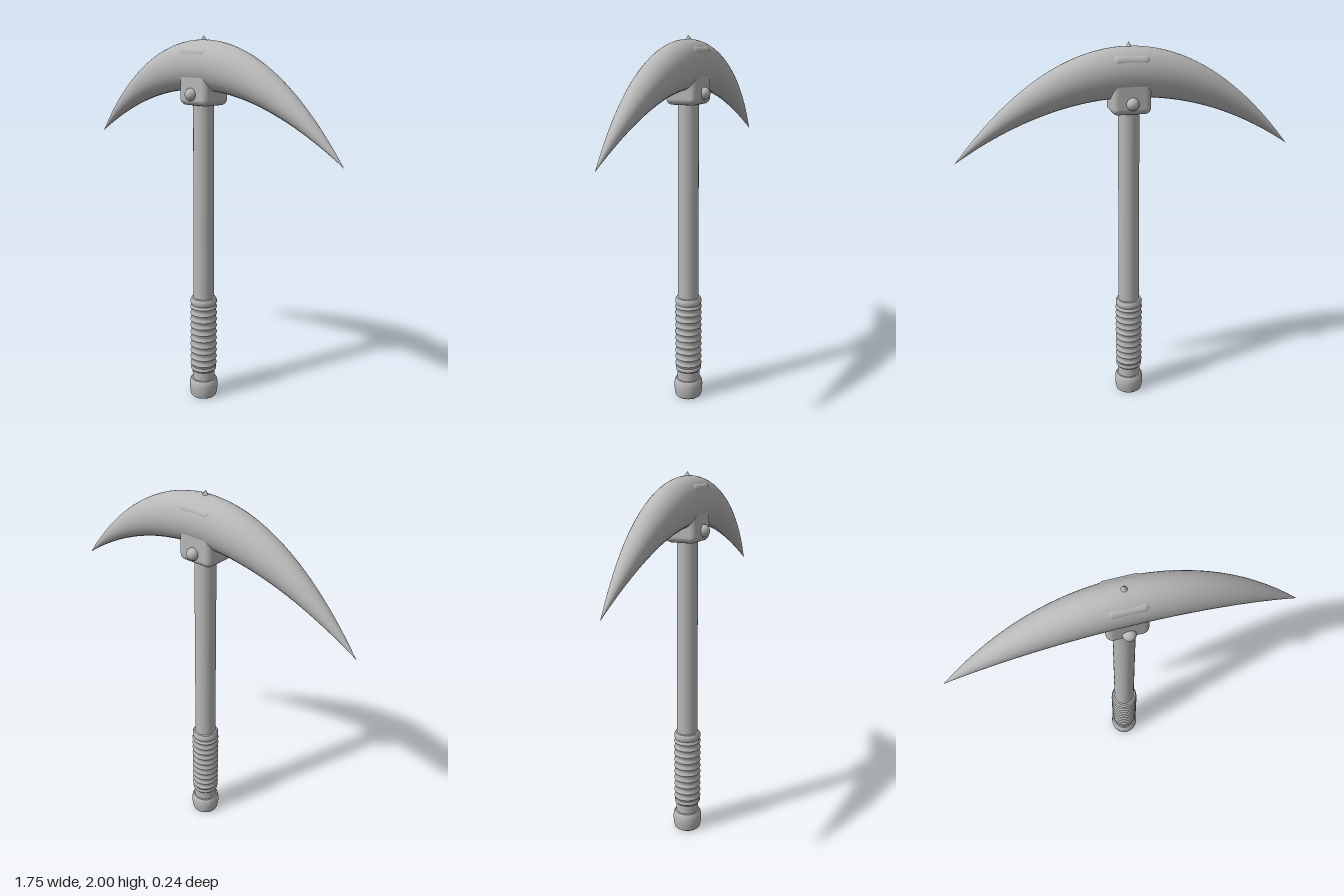
import * as THREE from 'three';
import { RoundedBoxGeometry } from 'three/addons/geometries/RoundedBoxGeometry.js';
import { toCreasedNormals } from 'three/addons/utils/BufferGeometryUtils.js';

const grey = new THREE.MeshStandardMaterial({ color: 0xb8b8b8 });
grey.name = 'grey';

function part(parent, name, geometry, x = 0, y = 0, z = 0) {
  const mesh = new THREE.Mesh(geometry, grey);
  mesh.name = name;
  mesh.position.set(x, y, z);
  parent.add(mesh);
  return mesh;
}

// Turned part from [radius, height] pairs, bottom to top
function turned(points) {
  const profile = points.map(([r, y]) => new THREE.Vector2(r, y));
  return toCreasedNormals(new THREE.LatheGeometry(profile, 40), 0.6);
}

// Curved double-pointed head: elliptical sections between two parabolas
function headGeometry() {
  const sides = 36, steps = 80, reach = 0.875;
  const geometry = new THREE.CylinderGeometry(1, 1, 2, sides, steps, true);
  const p = geometry.attributes.position;
  for (let i = 0; i < p.count; i++) {
    const t = p.getY(i);
    const fade = Math.max(1 - t * t, 0.002);
    const middle = 1.442 + 0.413 * (1 - t * t);
    p.setXYZ(i, t * reach, middle - p.getX(i) * 0.125 * fade, p.getZ(i) * 0.1 * fade);
  }
  // Normals follow the bent surface; the seam is hidden underneath
  geometry.rotateY(0);
  geometry.computeVertexNormals();
  const n = geometry.attributes.normal;
  for (let row = 0; row <= steps; row++) {
    const a = row * (sides + 1), b = a + sides;
    const v = new THREE.Vector3().fromBufferAttribute(n, a)
      .add(new THREE.Vector3().fromBufferAttribute(n, b)).normalize();
    n.setXYZ(a, v.x, v.y, v.z);
    n.setXYZ(b, v.x, v.y, v.z);
  }
  return geometry;
}

export function createModel() {
  const pickaxe = new THREE.Group();
  pickaxe.name = 'pickaxe';

  part(pickaxe, 'head', headGeometry());
  part(pickaxe, 'topSpike', new THREE.ConeGeometry(0.02, 0.03, 20), 0, 1.985, 0);

  // Socket block through the head, with a rivet on each face
  part(pickaxe, 'socket', new RoundedBoxGeometry(0.2, 0.29, 0.176, 5, 0.032), 0, 1.8, 0);
  for (const side of [1, -1]) {
    part(pickaxe, 'rivet', new THREE.SphereGeometry(0.032, 24, 16), 0, 1.712, side * 0.09);
  }

  // Shaft, slightly thicker towards the grip
  part(pickaxe, 'shaft', new THREE.CylinderGeometry(0.054, 0.058, 1.65, 40), 0, 0.925, 0);

  // Ribbed grip
  const grip = [[0.05, 0.16], [0.066, 0.16], [0.072, 0.168], [0.072, 0.18]];
  const ribs = 10, pitch = 0.038;
  for (let i = 0; i < ribs; i++) {
    const y = 0.182 + i * pitch;
    grip.push([0.068, y + 0.004], [0.075, y + pitch * 0.5], [0.068, y + pitch - 0.004]);
  }
  grip.push([0.073, 0.57], [0.073, 0.585], [0.066, 0.598], [0.05, 0.6]);
  part(pickaxe, 'grip', turned(grip));

  // Neck and rounded pommel
  part(pickaxe, 'neck', new THREE.CylinderGeometry(0.063, 0.063, 0.08, 40), 0, 0.13, 0);
  part(pickaxe, 'pommel', turned([
    [0, 0], [0.066, 0], [0.073, 0.006], [0.077, 0.025], [0.08, 0.05],
    [0.08, 0.075], [0.077, 0.095], [0.07, 0.107], [0.05, 0.11],
  ]));

  return pickaxe;
}
